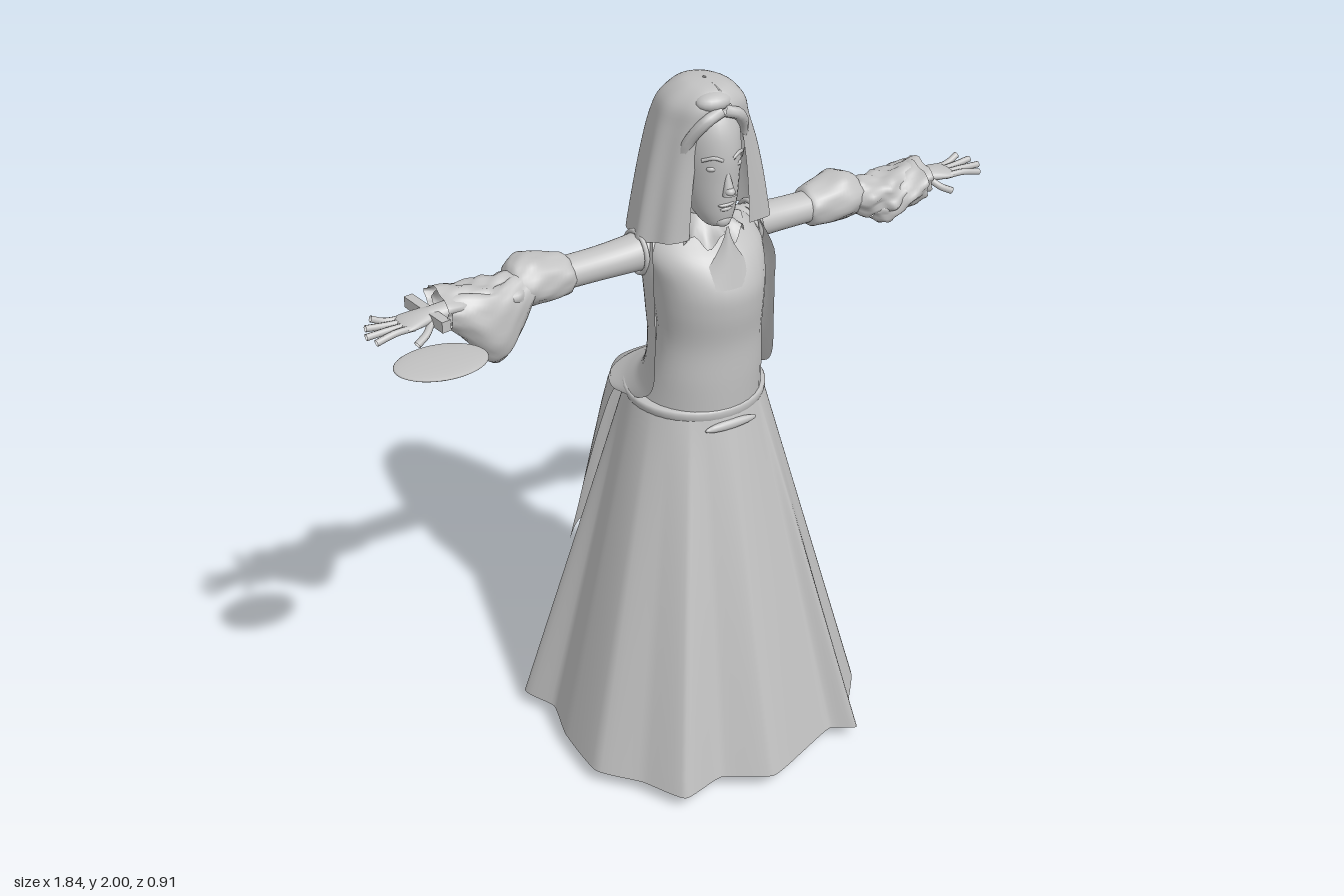
import * as THREE from 'three';

const cloth = new THREE.MeshStandardMaterial({ color: 0xc2c2c2, side: THREE.DoubleSide });
cloth.name = 'paleGrey';
const CX = 0.015; // body axis

// Grid surface: fn(u, v) -> [x, y, z]; closed joins the u ends
function surface(cols, rows, closed, fn) {
  const pos = [], idx = [], n = closed ? cols : cols + 1;
  for (let j = 0; j <= rows; j++)
    for (let i = 0; i < n; i++) pos.push(...fn(i / cols, j / rows));
  for (let j = 0; j < rows; j++)
    for (let i = 0; i < cols; i++) {
      const a = j * n + i, b = j * n + ((i + 1) % n), c = a + n, d = b + n;
      idx.push(a, b, c, b, d, c);
    }
  const g = new THREE.BufferGeometry();
  g.setAttribute('position', new THREE.Float32BufferAttribute(pos, 3));
  g.setIndex(idx);
  g.computeVertexNormals();
  return g;
}

// Smooth interpolation through key rows
function sample(keys, t) {
  const f = t * (keys.length - 1), i = Math.min(Math.floor(f), keys.length - 2), w = f - i;
  const at = k => keys[Math.max(0, Math.min(keys.length - 1, k))];
  return keys[i].map((p1, c) => {
    const p0 = at(i - 1)[c], p2 = at(i + 1)[c], p3 = at(i + 2)[c];
    return p1 + 0.5 * w * (p2 - p0 + w * (2 * p0 - 5 * p1 + 4 * p2 - p3 + w * (3 * (p1 - p2) + p3 - p0)));
  });
}

// Upright loft, keys bottom to top: [y, cx, cz, rx, rz]
const upright = (keys, cols = 32, rows = 40) => surface(cols, rows, true, (u, v) => {
  const [y, cx, cz, rx, rz] = sample(keys, v), a = u * Math.PI * 2;
  return [cx + rx * Math.sin(a), y, cz + rz * Math.cos(a)];
});

// Sideways loft along x, keys: [x, cy, cz, ry, rz], with optional crumple
const sideways = (s, keys, crumple = 0, rows = 24) => surface(28, rows, true, (u, v) => {
  const [x, cy, cz, ry, rz] = sample(keys, v), a = s * u * Math.PI * 2;
  const k = 1 + crumple * (Math.sin(5 * a + v * 9) + 0.6 * Math.sin(9 * a - v * 17));
  return [s * x, cy + ry * k * Math.cos(a), cz + rz * k * Math.sin(a)];
});

export function createModel() {
  const model = new THREE.Group();
  const add = (name, geo, x = 0, y = 0, z = 0, parent = model) => {
    const m = new THREE.Mesh(geo, cloth);
    m.name = name;
    m.position.set(x, y, z);
    parent.add(m);
    return m;
  };
  const tube = (name, pts, r, parent = model) => add(name, new THREE.TubeGeometry(
    new THREE.CatmullRomCurve3(pts.map(p => new THREE.Vector3(...p))), 12, r, 8), 0, 0, 0, parent);

  // Skirt: pleated hem outline lofted up to an oval waist
  const hem = [[0, .455], [.13, .41], [.25, .365], [.32, .4], [.36, .3], [.45, .18], [.445, 0], [.42, -.13],
    [.47, -.24], [.3, -.35], [.11, -.455], [.06, -.35], [.015, -.32], [-.03, -.35], [-.085, -.455], [-.27, -.35],
    [-.43, -.24], [-.39, -.13], [-.42, 0], [-.42, .18], [-.33, .29], [-.26, .41], [-.13, .385]]
    .map(([x, z]) => new THREE.Vector3(x, 0, z));
  const hemCurve = new THREE.CatmullRomCurve3(hem, true, 'catmullrom', 0.25);
  add('skirt', surface(138, 20, true, (u, v) => {
    const h = hemCurve.getPoint(u), a = Math.atan2(h.x - CX, h.z);
    const wx = CX + .185 * Math.sin(a), wz = -.01 + .185 * Math.cos(a);
    return [wx + (h.x - wx) * (1 - v), .045 + 1.06 * v, wz + (h.z - wz) * (1 - v)];
  }));

  // Waistband and front clasp
  add('waistband', upright([[1.08, CX, -.01, .186, .187], [1.095, CX, -.01, .193, .192],
    [1.112, CX, -.01, .191, .19], [1.116, CX, -.01, .16, .17]], 40, 9));
  const clasp = add('clasp', new THREE.SphereGeometry(1, 20, 10), CX, 1.065, .182);
  clasp.scale.set(.08, .014, .012);

  // Bodice and neck
  add('bodice', upright([[1.08, CX, -.005, .175, .182], [1.19, .018, .045, .155, .137], [1.3, .022, .057, .143, .128],
    [1.4, .02, .054, .148, .147], [1.47, .02, .042, .155, .157], [1.54, .018, .015, .165, .145],
    [1.59, CX, .0, .135, .1], [1.62, CX, .01, .06, .06], [1.7, CX, .025, .045, .05]]));

  // Open vest over back and sides
  const vest = [[1.08, .195, -.265, -.11], [1.12, .192, -.2, .02], [1.18, .185, -.125, .085], [1.3, .182, -.075, .095],
    [1.4, .182, -.1, .095], [1.5, .182, -.122, .09], [1.59, .155, -.1, .04]];
  add('vest', surface(32, 30, false, (u, v) => {
    const [y, rx, zb, zf] = sample(vest, v), a = (.5 - u) * Math.PI;
    return [.018 + rx * Math.sin(a), y, zb + (zf - zb) * (1 - Math.cos(a))];
  }));

  // Coat tails: one back drape folded inward along the middle
  const fold = [[0, -.265, 0, -.315], [.06, -.262, .035, -.345], [.11, -.245, .09, -.43], [.16, -.19, .17, -.395], [.19, -.11, .235, -.325]];
  add('coatTails', surface(40, 16, false, (u, v) => {
    const s = 1 - 2 * u, [tx, tz, lx, lz] = sample(fold, Math.abs(s)), w = Math.pow(v, .85);
    return [CX + Math.sign(s) * (tx + (lx - tx) * w), 1.085 - .62 * v, tz + (lz - tz) * w];
  }));

  for (const s of [-1, 1]) {
    // Legs and heeled shoes
    const lx = .02 + s * .14;
    add('leg', new THREE.CylinderGeometry(.07, .045, .85, 16), lx, .5, -.04);
    const sole = new THREE.Shape();
    sole.moveTo(-.08, .05);
    sole.quadraticCurveTo(-.09, .1, -.05, .11);
    sole.lineTo(.03, .1);
    sole.quadraticCurveTo(.13, .06, .2, .045);
    sole.quadraticCurveTo(.225, .02, .18, .005);
    sole.lineTo(.11, .005);
    sole.quadraticCurveTo(.04, .03, -.01, .035);
    sole.lineTo(-.015, 0);
    sole.lineTo(-.075, 0);
    const shoe = add('shoe', new THREE.ExtrudeGeometry(sole,
      { depth: .07, bevelSize: .012, bevelThickness: .018, bevelSegments: 3 }), lx + .035, .012, 0);
    shoe.rotation.y = -Math.PI / 2;
    shoe.scale.y = .9;

    // Arms with puffed sleeves
    const hy = s > 0 ? 1.538 : 1.525;
    add('upperSleeve', sideways(s, [[.12, 1.545, -.01, .055, .055], [.18, 1.54, -.01, .048, .052],
      [.28, 1.537, -.01, .043, .047], [.4, 1.537, -.01, .042, .047]]));
    add('armholeRim', new THREE.TorusGeometry(.056, .007, 8, 28), CX + s * .172, 1.54, -.01).rotation.y = Math.PI / 2;
    add('puffSleeve', sideways(s, [[.355, 1.535, -.01, .04, .045], [.37, 1.535, -.015, .054, .058], [.42, 1.536, -.02, .063, .068],
      [.47, 1.542, -.022, .068, .076], [.51, 1.54, -.015, .058, .06], [.525, 1.538, -.01, .04, .045]], .03));
    add('ruffledCuff', sideways(s, [[.5, 1.535, 0, .04, .045], [.53, 1.53, 0, .052, .067], [.57, 1.53, 0, .048, .062],
      [.6, 1.525, 0, .055, .075], [.64, 1.535, 0, .048, .062], [.68, 1.545, 0, .044, .065], [.725, 1.55, 0, .045, .07]], .09, 36));
    add('forearm', sideways(s, [[.48, hy, -.005, .035, .035], [.65, hy, -.005, .028, .03], [.75, hy, -.005, .02, .026]]));

    // Hands
    const hand = new THREE.Group();
    hand.name = 'hand';
    model.add(hand);
    add('palm', sideways(s, [[.72, hy, -.005, .02, .025], [.76, hy, -.005, .018, .034], [.8, hy - .002, -.003, .014, .042],
      [.825, hy - .004, -.003, .009, .038], [.83, hy - .004, -.003, .001, .005]]), 0, 0, 0, hand);
    [[-.036, .885], [-.014, .91], [.01, .92], [.032, .905]].forEach(([z, tip], i) =>
      tube('finger', [[s * .8, hy - .004, z * .85], [s * .85, hy - .002, z], [s * tip, hy + (1.5 - i) * .008, z * 1.15]], .009, hand));
    tube('thumb', [[s * .75, hy - .005, .02], [s * .775, hy - .025, .04], [s * .805, hy - .04, .05]], .01, hand);
  }

  // Hanging cuffs: long on the right swinging forward, short on the left
  add('hangingCuff', sideways(-1, [[.48, 1.535, .005, .045, .045], [.52, 1.505, .02, .075, .045], [.57, 1.475, .04, .1, .045],
    [.62, 1.48, .045, .095, .045], [.67, 1.515, .03, .065, .05], [.715, 1.54, .01, .045, .06]], .035));
  add('shortCuff', sideways(1, [[.55, 1.5, .01, .03, .04], [.59, 1.49, .01, .045, .055],
    [.64, 1.52, .01, .048, .07], [.7, 1.545, .01, .05, .075]], .07));
  add('cuffStrap', new THREE.BoxGeometry(.025, .03, .17), -.745, 1.525, -.015).rotation.y = .15;

  // Oval tray near the right hand
  const tray = add('tray', new THREE.SphereGeometry(1, 48, 12), -.805, 1.508, .19);
  tray.scale.set(.117, .009, .085);
  tray.rotation.y = -.12;

  // Collar with scalloped edge, and the neckline drawn up to a soft point
  add('collar', surface(64, 4, true, (u, v) => {
    const a = u * Math.PI * 2, r = .112 - .06 * v, drop = (1 - v) * (1 - v) * .02 * Math.cos(9 * a);
    return [CX + r * Math.sin(a), 1.59 + .055 * v + drop, .02 + r * 1.05 * Math.cos(a)];
  }));
  add('collarPoint', surface(12, 12, false, (u, v) => {
    const s = 2 * u - 1, w = .1 * Math.pow(1 - v, 1.6) + .004;
    return [CX + s * w, 1.48 + .16 * v, .196 - .04 * v - s * s * .045 * (1 - v)];
  }));

  // Head and face
  add('head', upright([[1.625, CX, .1, .004, .005], [1.635, CX, .1, .032, .036], [1.66, CX, .085, .05, .062],
    [1.7, CX, .063, .065, .09], [1.76, CX, .048, .076, .108], [1.83, CX, .043, .082, .115], [1.9, CX, .035, .08, .11],
    [1.95, CX, .025, .062, .085], [1.975, CX, .02, .01, .01]]));
  const nose = add('nose', new THREE.ConeGeometry(.017, .085, 12), CX, 1.772, .155);
  nose.rotation.x = -.16;
  const ball = (name, x, y, z, sx, sy, sz) => add(name, new THREE.SphereGeometry(1, 18, 12), x, y, z).scale.set(sx, sy, sz);
  ball('noseTip', CX, 1.742, .165, .014, .012, .014);
  ball('upperLip', CX, 1.7, .147, .024, .006, .01);
  ball('lowerLip', CX, 1.688, .145, .019, .007, .01);
  ball('chin', CX, 1.65, .133, .022, .018, .016);
  for (const s of [-1, 1]) {
    ball('eye', CX + s * .034, 1.803, .136, .017, .009, .012);
    tube('eyebrow', [[CX + s * .014, 1.826, .155], [CX + s * .035, 1.834, .147], [CX + s * .058, 1.825, .125]], .005);
    // Hair swept from the parting
    for (let i = 0; i < 4; i++)
      tube('hairLock', [[CX + s * .004, 1.945 - i * .006, .125 - i * .02], [CX + s * .045, 1.93 - i * .008, .13 - i * .025],
        [CX + s * .078, 1.87 - i * .01, .095 - i * .02], [CX + s * .085, 1.78, .06 - i * .02]], .016);
  }
  ball('hair', CX, 1.885, .02, .098, .1, .108);
  ball('frontCurl', CX - .01, 1.965, .1, .05, .025, .035);

  // Veil open at the face, squared in front and drawn to a fold at the back
  // keys bottom to top: [y, cx, cz, rx, front rz, back rz, opening half-angle]
  const veil = [[1.6, .03, -.01, .19, .115, .215, .48], [1.72, .028, -.005, .168, .115, .19, .5], [1.82, .025, 0, .145, .115, .168, .5],
    [1.9, .02, .005, .12, .118, .145, .46], [1.955, .02, .015, .1, .115, .118, .2], [1.992, .02, .03, .055, .072, .072, .03],
    [2, .02, .03, .004, .006, .006, 0]];
  add('veil', surface(96, 30, false, (u, v) => {
    const [y, cx, cz, rx, rf, rb, open] = sample(veil, v), a = open + u * 2 * (Math.PI - open);
    const low = 1 - v, s = Math.sin(a), c = Math.cos(a), p = 2 + low * (c > 0 ? .9 : -.6) * Math.abs(c);
    const k = Math.pow(Math.abs(s) ** p + Math.abs(c) ** p, -1 / p) * (1 + low * .045 * Math.sin(8 * a + .6));
    return [cx + rx * k * s, y - .055 * low * low * (.5 - .5 * c), cz + (c > 0 ? rf : rb) * k * c];
  }));

  return model;
}
